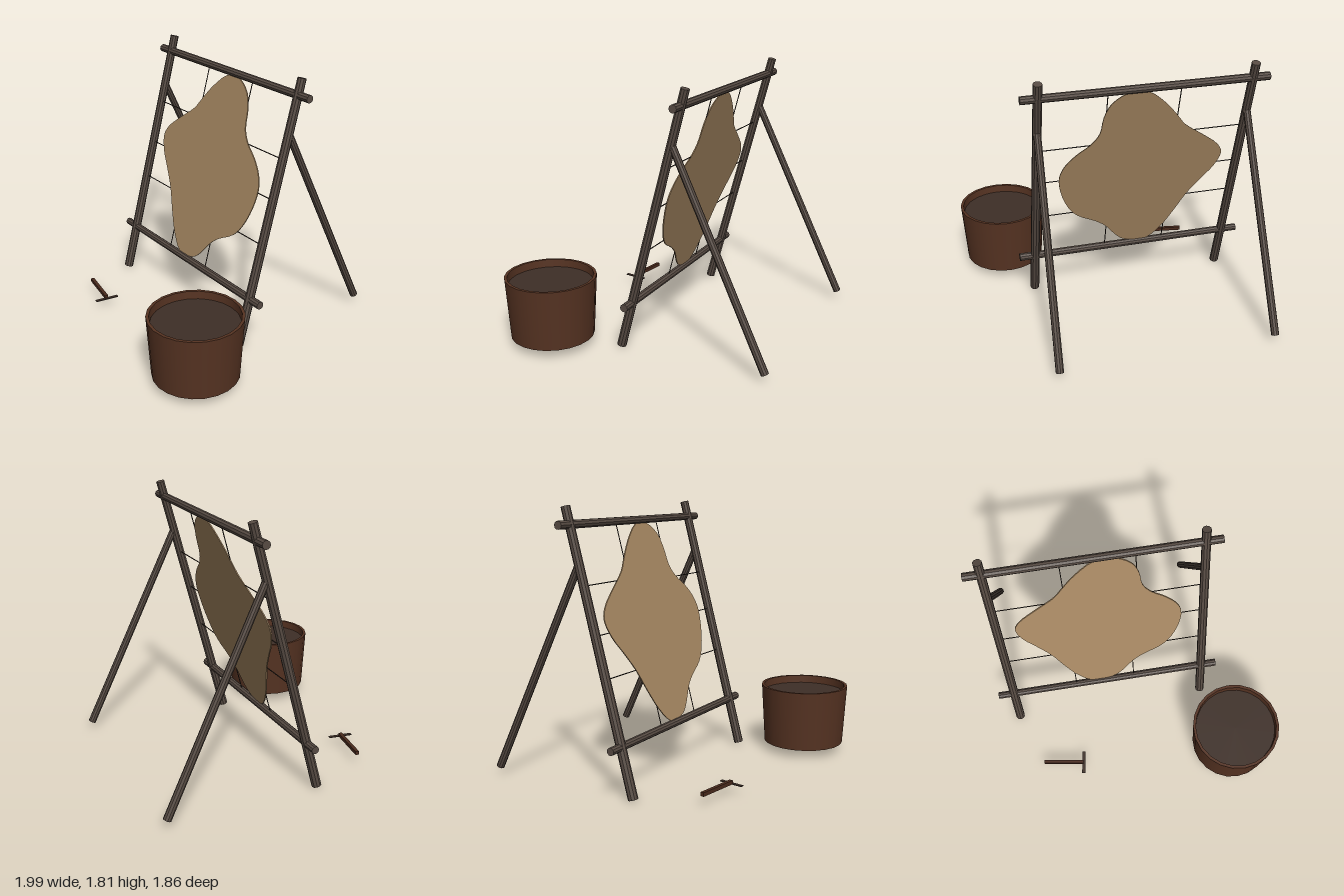
import * as THREE from 'three';

const mat = (name, color) => {
  const m = new THREE.MeshStandardMaterial({ color });
  m.name = name;
  return m;
};

// z of the leaning frame plane at height y
const lean = (y) => 0.157 - 0.267 * y;

export function createModel() {
  const group = new THREE.Group();
  const wood = mat('greyWood', 0x574b43);
  const hideTan = mat('tanHide', 0xa88963);
  const cordDark = mat('darkCord', 0x2e2620);
  const tubBrown = mat('tubBrown', 0x563322);
  const liquidBrown = mat('murkyLiquid', 0x3e2f27);
  const toolBrown = mat('toolBrown', 0x4a2a1c);

  const add = (name, geometry, material) => {
    const mesh = new THREE.Mesh(geometry, material);
    mesh.name = name;
    group.add(mesh);
    return mesh;
  };

  // round rod from a to b, faceted when it has few sides
  const rod = (name, a, b, r0, r1, sides, material) => {
    const from = new THREE.Vector3(...a), to = new THREE.Vector3(...b);
    const dir = to.clone().sub(from);
    const geo = new THREE.CylinderGeometry(r1, r0, dir.length(), sides).toNonIndexed();
    geo.computeVertexNormals();
    const mesh = add(name, geo, material);
    mesh.position.copy(from).add(to).multiplyScalar(0.5);
    mesh.quaternion.setFromUnitVectors(new THREE.Vector3(0, 1, 0), dir.normalize());
    return mesh;
  };

  // leaning uprights with a splayed rear prop each
  for (const [side, x, footX] of [['right', -0.885, -0.92], ['left', 0.54, 0.575]]) {
    rod(side + 'Upright', [x, 0.008, 0.155], [x, 1.806, -0.325], 0.033, 0.03, 10, wood);
    rod(side + 'RearProp', [footX, 0.055, -0.905], [x, 1.45, -0.232], 0.027, 0.025, 10, wood);
  }

  // crossbars
  rod('topBar', [-1, 1.695, lean(1.695)], [0.652, 1.698, lean(1.698)], 0.028, 0.027, 10, wood);
  rod('bottomBar', [-1, 0.333, lean(0.333)], [0.652, 0.336, lean(0.336)], 0.026, 0.028, 10, wood);

  // stretched hide: outline in the front plane, sheared onto the frame
  const outline = [
    [-0.18, 1.668], [-0.1, 1.675], [-0.035, 1.668], [0.06, 1.6], [0.105, 1.5], [0.125, 1.37],
    [0.18, 1.29], [0.275, 1.215], [0.35, 1.13], [0.384, 1.04], [0.37, 0.905], [0.313, 0.76],
    [0.24, 0.67], [0.105, 0.594], [0.025, 0.53], [-0.045, 0.44], [-0.11, 0.38], [-0.18, 0.36],
    [-0.295, 0.362], [-0.393, 0.46], [-0.473, 0.594], [-0.553, 0.75], [-0.644, 0.877],
    [-0.725, 0.984], [-0.762, 1.096], [-0.725, 1.17], [-0.607, 1.267], [-0.463, 1.374],
    [-0.404, 1.45], [-0.313, 1.56],
  ].map(([x, y]) => new THREE.Vector3(x, y, 0));
  const curve = new THREE.CatmullRomCurve3(outline, true);
  const shape = new THREE.Shape(curve.getPoints(90).slice(0, -1).map((p) => new THREE.Vector2(p.x, p.y)));
  const hide = new THREE.ExtrudeGeometry(shape, { depth: 0.008, bevelEnabled: false });
  const pos = hide.attributes.position;
  for (let i = 0; i < pos.count; i++) {
    pos.setZ(i, pos.getZ(i) - 0.004 + lean(pos.getY(i)));
  }
  hide.computeVertexNormals();
  add('stretchedHide', hide, hideTan);

  // cords from the hide edge to the frame: [x0, y0, x1, y1]
  const cords = [
    [-0.885, 1.32, -0.5, 1.32], [-0.885, 1.013, -0.7, 1.013], [-0.885, 0.745, -0.52, 0.745],
    [0.54, 1.285, 0.15, 1.285], [0.54, 1.013, 0.35, 1.013], [0.54, 0.708, 0.24, 0.708],
    [-0.398, 1.7, -0.398, 1.43], [0.09, 1.7, 0.09, 1.5],
    [-0.41, 0.335, -0.41, 0.52], [0.025, 0.335, 0.025, 0.57],
  ];
  cords.forEach(([x0, y0, x1, y1], i) => {
    rod('cord' + (i + 1), [x0, y0, lean(y0)], [x1, y1, lean(y1)], 0.0035, 0.0035, 6, cordDark);
  });

  // tub: outer wall, flat rim and inner wall, creased by separate lathes
  const tub = new THREE.Group();
  tub.name = 'tub';
  tub.position.set(0.686, 0, 0.618);
  group.add(tub);
  const walls = {
    tubBase: [[0, 0.06], [0.286, 0.06]],
    tubOuterWall: [[0.286, 0.06], [0.312, 0.484]],
    tubRim: [[0.312, 0.484], [0.292, 0.484]],
    tubInnerWall: [[0.292, 0.484], [0.288, 0.42]],
  };
  for (const [name, pts] of Object.entries(walls)) {
    const geo = new THREE.LatheGeometry(pts.map(([x, y]) => new THREE.Vector2(x, y)), 22);
    tub.add(add(name, geo, tubBrown));
  }
  const liquid = add('tubLiquid', new THREE.CircleGeometry(0.29, 22), liquidBrown);
  liquid.rotation.set(-Math.PI / 2, 0, 0);
  liquid.position.y = 0.43;
  tub.add(liquid);

  // scraper: handle with a thin cross blade at its end
  const scraper = new THREE.Group();
  scraper.name = 'scraper';
  scraper.position.set(-0.447, 0.06, 0.613);
  scraper.rotation.y = -0.16;
  group.add(scraper);
  const handle = add('scraperHandle', new THREE.BoxGeometry(0.295, 0.026, 0.024), toolBrown);
  handle.position.set(-0.15, 0.014, 0);
  const blade = add('scraperBlade', new THREE.BoxGeometry(0.024, 0.006, 0.168), liquidBrown);
  blade.position.set(0, 0.004, 0);
  scraper.add(handle, blade);

  return group;
}
